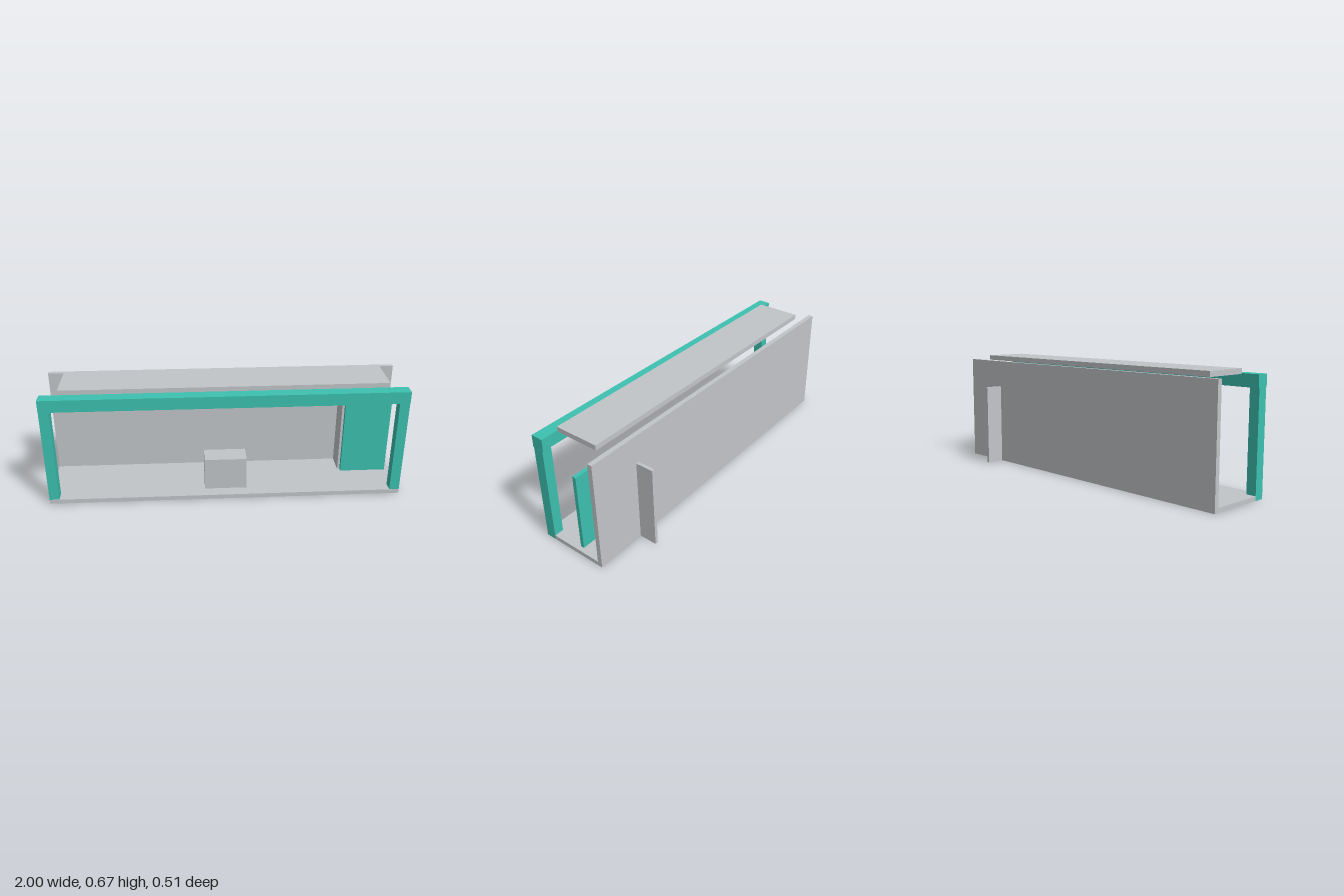
import * as THREE from 'three';

export function createModel() {
  const group = new THREE.Group();
  group.name = 'shopStall';

  const grey = new THREE.MeshStandardMaterial({ color: 0xc2c5c8 });
  grey.name = 'light grey';
  const teal = new THREE.MeshStandardMaterial({ color: 0x3cc0b0 });
  teal.name = 'teal';

  // Adds a box given by its extents along each axis
  function slab(name, material, [x0, x1], [y0, y1], [z0, z1]) {
    const mesh = new THREE.Mesh(new THREE.BoxGeometry(x1 - x0, y1 - y0, z1 - z0), material);
    mesh.position.set((x0 + x1) / 2, (y0 + y1) / 2, (z0 + z1) / 2);
    mesh.name = name;
    group.add(mesh);
  }

  // Shell: floor, back wall and floating roof panel
  slab('floor', grey, [-1, 1], [0, 0.025], [-0.123, 0.25]);
  slab('backWall', grey, [-1, 1], [0, 0.64], [-0.15, -0.123]);
  slab('roofPanel', grey, [-0.9, 0.9], [0.638, 0.667], [-0.08, 0.18]);

  // Counter block in the middle of the floor
  slab('counter', grey, [-0.12, 0.12], [0.025, 0.215], [0.06, 0.18]);

  // Side room: partition running through the back wall, and its door
  slab('partition', grey, [0.69, 0.708], [0.0005, 0.48], [-0.253, 0.003]);
  slab('door', teal, [0.704, 0.973], [-0.0005, 0.48], [0.003, 0.025]);

  // Front frame: two posts under a deeper beam
  slab('rightPost', teal, [-1.0005, -0.945], [-0.0005, 0.573], [0.189, 0.248]);
  slab('leftPost', teal, [0.945, 1.0005], [0.0005, 0.573], [0.189, 0.248]);
  slab('frontBeam', teal, [-1, 1], [0.573, 0.642], [0.183, 0.253]);

  return group;
}
